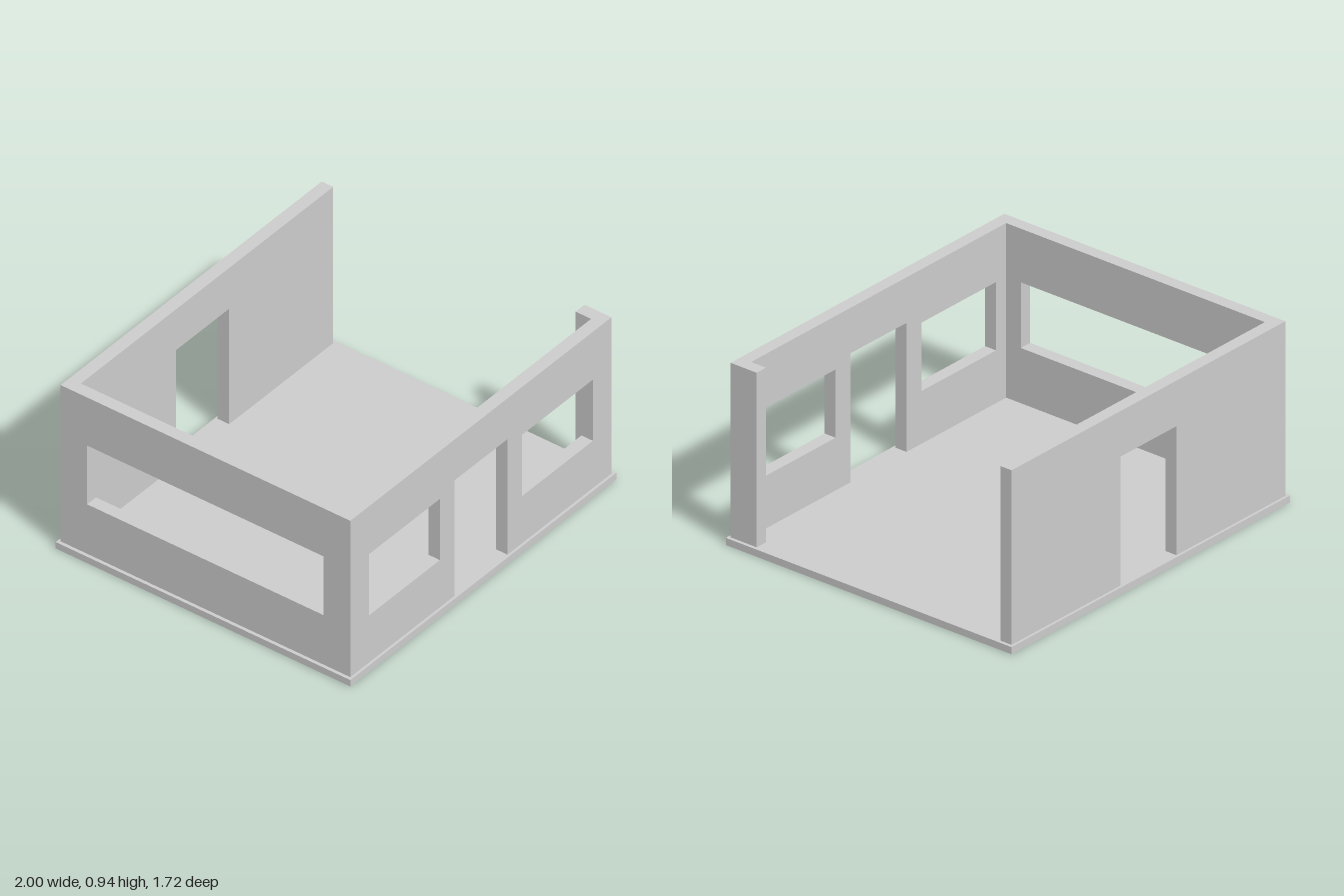
import * as THREE from 'three';

const FLOOR = 0.037, TOP = 0.941;   // top of slab, top of walls
const X = 0.982, Z = 0.845, T = 0.067; // outer wall faces and thickness

// Wall panel: rectangular outline, optional doorway notch, window holes [x0, x1, y0, y1]
function wallGeometry(half, door, windows) {
  const s = new THREE.Shape();
  s.moveTo(-half, FLOOR);
  if (door) {
    s.lineTo(-door.half, FLOOR);
    s.lineTo(-door.half, door.top);
    s.lineTo(door.half, door.top);
    s.lineTo(door.half, FLOOR);
  }
  s.lineTo(half, FLOOR);
  s.lineTo(half, TOP);
  s.lineTo(-half, TOP);
  s.closePath();
  for (const [x0, x1, y0, y1] of windows) {
    const h = new THREE.Path();
    h.moveTo(x0, y0);
    h.lineTo(x0, y1);
    h.lineTo(x1, y1);
    h.lineTo(x1, y0);
    h.closePath();
    s.holes.push(h);
  }
  return new THREE.ExtrudeGeometry(s, { depth: T, bevelEnabled: false });
}

export function createModel() {
  const group = new THREE.Group();
  const plaster = new THREE.MeshStandardMaterial({ color: 0xcccccc });
  plaster.name = 'plaster grey';

  const add = (name, geometry, x = 0, y = 0, z = 0) => {
    const mesh = new THREE.Mesh(geometry, plaster);
    mesh.name = name;
    mesh.position.set(x, y, z);
    group.add(mesh);
  };

  // Floor slab, slightly wider than the walls
  add('floorSlab', new THREE.BoxGeometry(2, FLOOR, 1.718), 0, FLOOR / 2, 0);

  // Front wall with doorway and two windows, back wall with doorway only
  const door = { half: 0.2, top: 0.705 };
  const frontWindows = [[-0.843, -0.308, 0.31, 0.664], [0.308, 0.843, 0.31, 0.664]];
  add('frontWall', wallGeometry(X, door, frontWindows), 0, 0, Z - T);
  add('backWall', wallGeometry(X, door, []), 0, 0, -Z);

  // Side wall on -x with one long window
  const side = wallGeometry(Z - T, null, [[-0.69, 0.69, 0.323, 0.663]]);
  side.rotateY(-Math.PI / 2);
  add('sideWall', side, -X + T, 0, 0);

  // Short return of the front wall on the open +x side
  const stub = Z - T - 0.688;
  add('wallReturn', new THREE.BoxGeometry(T, TOP - FLOOR, stub),
    X - T / 2, (TOP + FLOOR) / 2, 0.688 + stub / 2);

  return group;
}
